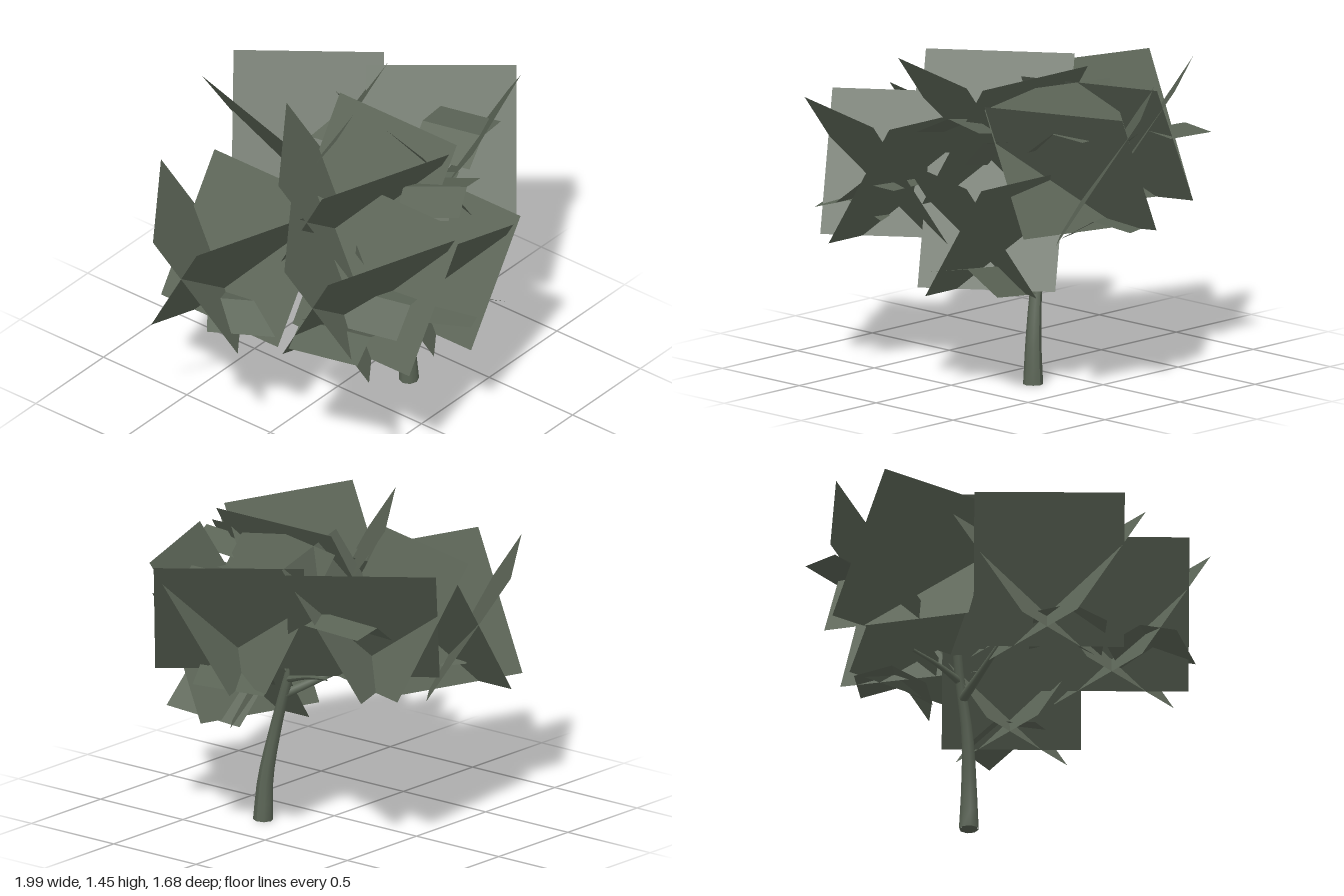
import * as THREE from 'three';

const deg = Math.PI / 180;

export function createModel() {
  const tree = new THREE.Group();
  tree.name = 'tree';

  const foliage = new THREE.MeshStandardMaterial({ color: 0x5b6456, side: THREE.DoubleSide });
  foliage.name = 'foliage grey green';
  const bark = new THREE.MeshStandardMaterial({ color: 0x5a6455 });
  bark.name = 'bark grey green';

  // Leaf card hanging from its top edge, leaning outwards towards an angle
  function card(name, angle, x, z) {
    const g = new THREE.PlaneGeometry(0.7, 0.725);
    g.translate(0, -0.3625, 0);
    g.rotateX(33 * deg);
    g.rotateY((90 - angle) * deg);
    g.translate(x, 0, z);
    const mesh = new THREE.Mesh(g, foliage);
    mesh.name = name;
    return mesh;
  }

  // Cluster of three crossing cards; y is the height of the top edges
  function cluster(name, x, y, z, turn = 0, scale = 1) {
    const group = new THREE.Group();
    group.name = name;
    group.add(
      card('sideCard', 0, 0.36, 0.02),
      card('frontCard', 108.5, -0.055, 0.28),
      card('backCard', 234, -0.145, -0.265),
    );
    group.position.set(x, y, z);
    group.rotation.y = turn * deg;
    group.scale.setScalar(scale);
    tree.add(group);
  }

  cluster('topCluster', -0.13, 1.45, 0.155);
  cluster('rightFrontCluster', -0.45, 1.26, 0.45);
  cluster('rightBackCluster', -0.57, 1.195, -0.24);
  cluster('lowFrontCluster', 0.1, 1.04, 0.4, 0, 0.925);
  cluster('leftFrontCluster', 0.484, 1.39, 0.199, 39);
  cluster('leftBackCluster', 0.18, 1.39, -0.36, 37.5);

  // Small folded sprays of leaves lying across the clusters
  function spray(x, y, z, turn, pitch, roll, size = 0.34) {
    const g = new THREE.PlaneGeometry(size, size, 2, 1).toNonIndexed();
    g.rotateX(-Math.PI / 2);
    const p = g.attributes.position;
    for (let i = 0; i < p.count; i++) p.setY(i, 0.04 - Math.abs(p.getX(i)) * 0.4);
    g.computeVertexNormals();
    const mesh = new THREE.Mesh(g, foliage);
    mesh.name = 'leafSpray';
    mesh.position.set(x, y, z);
    mesh.rotation.set(pitch * deg, turn * deg, roll * deg, 'YXZ');
    tree.add(mesh);
  }

  spray(0.09, 1.25, 0.52, 20, -12, 4, 0.32);
  spray(0.19, 1.13, 0.38, 20, -12, 30, 0.26);
  spray(0.22, 0.56, 0.5, 15, -9, -12, 0.38);
  spray(0.6, 0.79, 0.1, 30, -7, 8, 0.34);
  spray(0.45, 1.11, -0.47, 5, -4, 14, 0.3);
  spray(0.55, 1.23, 0.25, 10, -3, 16, 0.32);
  spray(-0.38, 0.9, 0.56, 10, -3, 17, 0.34);
  spray(-0.55, 0.68, -0.12, 40, 6, 6, 0.34);
  spray(-0.6, 0.79, 0.47, 20, 4, -6, 0.34);

  // Tapered limb swept along a curve
  function limb(name, points, r0, r1) {
    const curve = new THREE.CatmullRomCurve3(points.map((p) => new THREE.Vector3(...p)));
    const rings = 10, sides = 8;
    const g = new THREE.TubeGeometry(curve, rings, 1, sides, false);
    const p = g.attributes.position;
    const v = new THREE.Vector3();
    for (let i = 0; i < p.count; i++) {
      const t = Math.floor(i / (sides + 1)) / rings;
      const c = curve.getPointAt(t);
      v.fromBufferAttribute(p, i).sub(c);
      v.multiplyScalar(r1 + (r0 - r1) * Math.pow(1 - t, 1.8)).add(c);
      p.setXYZ(i, v.x, Math.max(0, v.y), v.z);
    }
    g.computeVertexNormals();
    const mesh = new THREE.Mesh(g, bark);
    mesh.name = name;
    tree.add(mesh);
  }

  limb('trunk', [[0.257, 0, 0.217], [0.25, 0.2, 0.208], [0.228, 0.45, 0.165], [0.22, 0.72, 0.09], [0.21, 0.82, 0.06]], 0.047, 0.022);
  limb('rightBackBranch', [[0.225, 0.62, 0.12], [0, 0.7, 0], [-0.4, 0.84, -0.22]], 0.024, 0.01);
  limb('leftBackBranch', [[0.22, 0.7, 0.1], [0.25, 0.745, -0.05], [0.28, 0.77, -0.2]], 0.02, 0.008);

  // Cut face under the trunk
  const foot = new THREE.Mesh(new THREE.CircleGeometry(0.045, 8), bark);
  foot.name = 'trunkFoot';
  foot.rotation.x = Math.PI / 2;
  foot.position.set(0.257, 0.001, 0.217);
  tree.add(foot);

  return tree;
}
